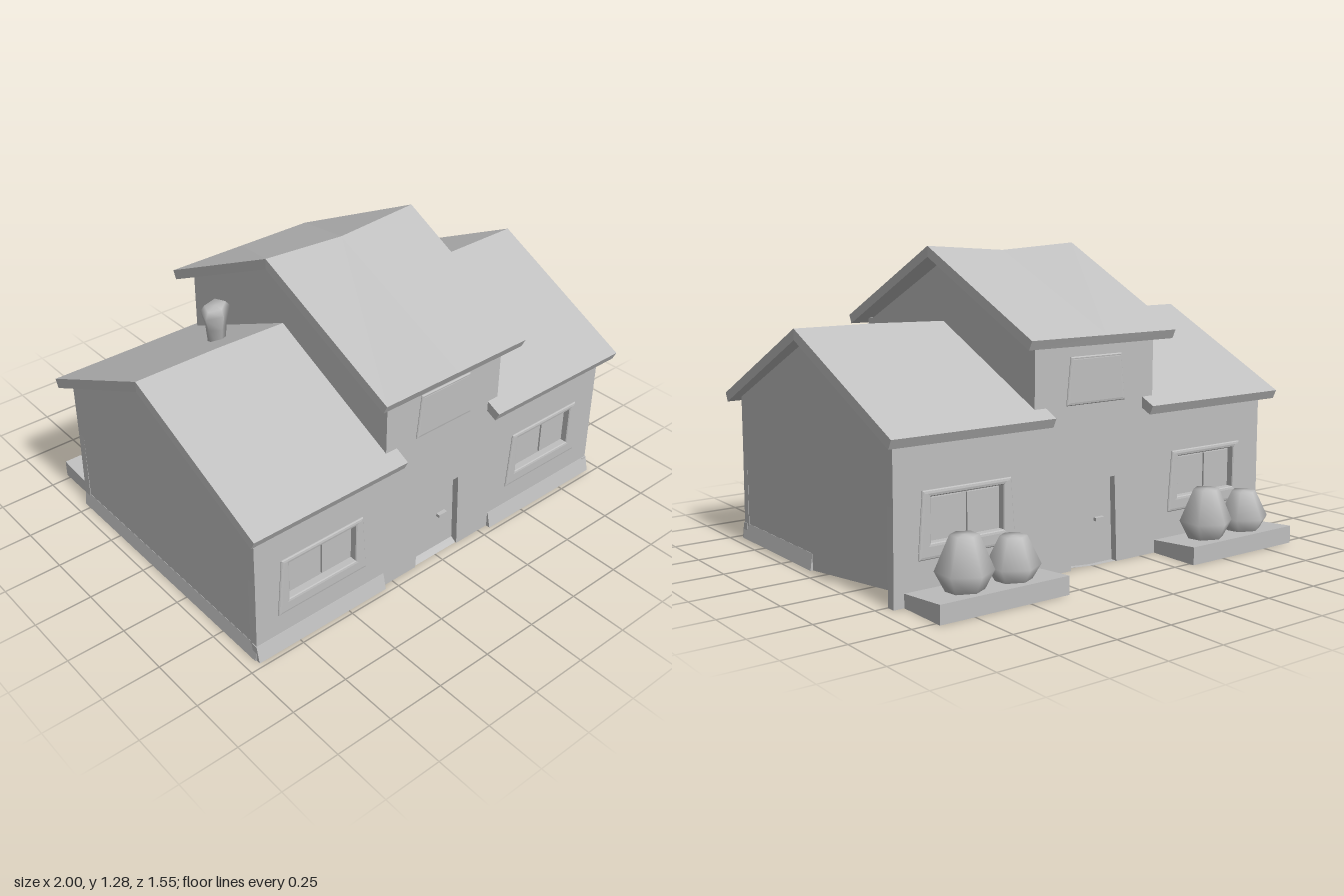
import * as THREE from 'three';

const grey = new THREE.MeshStandardMaterial({ color: 0xbfbfbf, side: THREE.DoubleSide });
grey.name = 'plain grey';

const HALF = 0.625;   // half depth of the house
const SLOPE = 0.485;  // rise of the roofs

function add(parent, name, geometry, x = 0, y = 0, z = 0) {
  const mesh = new THREE.Mesh(geometry, grey);
  mesh.name = name;
  mesh.position.set(x, y, z);
  parent.add(mesh);
  return mesh;
}

const shapeOf = pts => new THREE.Shape(pts.map(p => new THREE.Vector2(...p)));
const rect = (x0, x1, y0, y1) => [[x0, y0], [x1, y0], [x1, y1], [x0, y1]];

// Extrudes a (z, y) profile along x, centred on x = 0
function alongX(pts, length, steps = 1) {
  const g = new THREE.ExtrudeGeometry(shapeOf(pts), { depth: length, bevelEnabled: false, steps });
  g.translate(0, 0, -length / 2);
  g.rotateY(-Math.PI / 2);
  return g;
}

// Roof slab with two pitches, slightly wider at the ridge
function roof(parent, name, x0, x1, ridge, sag, flare) {
  const w = 0.69, drop = w * SLOPE;
  const g = alongX([
    [-w, ridge - drop], [-w + 0.018, ridge - drop - 0.037], [0, ridge - 0.045],
    [w - 0.018, ridge - drop - 0.037], [w, ridge - drop], [0, ridge],
  ], x1 - x0, 2);
  const p = g.attributes.position, mid = (x0 + x1) / 2;
  for (let i = 0; i < p.count; i++) {
    const t = 1 - Math.abs(p.getZ(i)) / w;
    const x = p.getX(i) + mid;
    const outer = Math.abs(x) > 0.35;
    p.setX(i, outer ? x + Math.sign(x) * flare * t : x);
    if (!outer) p.setY(i, p.getY(i) - sag * t);
  }
  g.computeVertexNormals();
  add(parent, name, g);
}

// Raised window surround, recessed backing and panes
function windowSet(parent, name, cx, outer, inner, panes) {
  const group = new THREE.Group();
  group.name = name;
  const [ow, o0, o1] = outer, [iw, i0, i1] = inner;
  const frame = shapeOf([[-ow, o0], [ow, o0], [ow - 0.02, o1], [-ow + 0.02, o1]]);
  frame.holes.push(new THREE.Path(shapeOf(rect(-iw, iw, i0, i1)).getPoints()));
  add(group, 'windowFrame', new THREE.ExtrudeGeometry(frame, {
    depth: 0.003, bevelThickness: 0.005, bevelSize: 0.012, bevelOffset: -0.012, bevelSegments: 2,
  }), 0, 0, HALF);
  add(group, 'windowBack', new THREE.BoxGeometry(2 * iw, i1 - i0, 0.008), 0, (i0 + i1) / 2, HALF - 0.03);
  for (const x of panes) {
    add(group, 'windowPane', new THREE.BoxGeometry(0.145, 0.155, 0.008), x, 0.312, HALF - 0.022);
  }
  group.position.x = cx;
  parent.add(group);
}

// Long wall with doorway, two wide windows and a window above
function facade(name) {
  const group = new THREE.Group();
  group.name = name;
  const wall = shapeOf([
    [-0.945, 0], [-0.12, 0], [-0.105, 0.36], [0.105, 0.36], [0.12, 0], [0.945, 0],
    [0.94, 0.63], [0.305, 0.63], [0.305, 0.935], [-0.305, 0.935], [-0.305, 0.63], [-0.94, 0.63],
  ]);
  const openings = [rect(-0.785, -0.455, 0.225, 0.4), rect(0.455, 0.785, 0.225, 0.4), rect(-0.115, 0.115, 0.7, 0.845)];
  for (const o of openings) wall.holes.push(new THREE.Path(shapeOf(o).getPoints()));
  add(group, 'longWall', new THREE.ExtrudeGeometry(wall, { depth: 0.04, bevelEnabled: false }), 0, 0, HALF - 0.04);
  for (const s of [-1, 1]) {
    windowSet(group, 'wideWindow', s * 0.62, [0.22, 0.165, 0.425], [0.165, 0.225, 0.4], [-0.084, 0.084]);
  }
  windowSet(group, 'upperWindow', 0, [0.15, 0.67, 0.862], [0.115, 0.7, 0.845], []);
  add(group, 'door', new THREE.BoxGeometry(0.25, 0.37, 0.008), 0, 0.185, HALF - 0.034);
  add(group, 'doorHandle', new THREE.BoxGeometry(0.045, 0.014, 0.02), 0.042, 0.187, HALF - 0.022);
  return group;
}

// Pentagon-shaped end wall; the back foot may be lifted
const gable = (half, foot, lift, peak) => alongX([
  [-half, foot + lift], [0, foot], [half, foot], [half, peak - half * SLOPE], [0, peak], [-half, peak - half * SLOPE],
], 0.03);

export function createModel() {
  const model = new THREE.Group();
  model.name = 'house';
  const house = new THREE.Group();
  house.name = 'building';
  house.position.z = 0.085;
  model.add(house);

  // Walls
  const back = facade('backFacade');
  back.rotation.y = Math.PI;
  house.add(facade('frontFacade'), back);
  for (const s of [-1, 1]) {
    add(house, 'endWall', gable(HALF, 0, s > 0 ? 0.07 : 0, 0.935), s * 0.927);
    add(house, 'upperEndWall', gable(HALF - 0.005, 0.6, 0, 1.22), s * 0.29);
  }

  // Sloped base strips along the front and the ends
  for (const s of [-1, 1]) {
    const strip = alongX([[0.6, 0], [0.645, 0], [0.628, 0.07], [0.6, 0.07]], 0.645);
    add(house, 'frontBase', strip, s * 0.625);
    const end = new THREE.ExtrudeGeometry(shapeOf([[0.92, 0], [0.953, 0], [0.943, 0.07], [0.92, 0.07]]),
      { depth: s > 0 ? 0.63 : 1.25, bevelEnabled: false });
    if (s < 0) end.rotateY(Math.PI);
    add(house, 'endBase', end, 0, 0, s > 0 ? 0 : HALF);
  }

  // Underside, lifted at one back corner and hollowed below the entrance
  const floor = new THREE.PlaneGeometry(1.88, 1.24, 24, 12).rotateX(Math.PI / 2);
  const p = floor.attributes.position;
  for (let i = 0; i < p.count; i++) {
    const x = p.getX(i), z = p.getZ(i);
    const corner = 0.08 * Math.max(0, x / 0.94) * Math.max(0, -z / 0.62);
    const hollow = Math.abs(x) < 0.3 && z > 0.3 && z < 0.6 ? 0.07 : 0;
    p.setY(i, 0.001 + corner + hollow);
  }
  floor.computeVertexNormals();
  add(house, 'floor', floor);

  // Roofs
  roof(house, 'leftRoof', 0.25, 0.985, 0.975, 0.01, 0.015);
  roof(house, 'rightRoof', -0.985, -0.25, 0.975, 0.01, 0.015);
  roof(house, 'upperRoof', -0.368, 0.368, 1.28, 0.025, 0.015);

  // Five-sided chimney pot
  const pot = new THREE.LatheGeometry([[0, 0.84], [0.035, 0.84], [0.045, 0.95], [0.062, 1.02], [0.045, 1.045], [0, 1.045]]
    .map(q => new THREE.Vector2(...q)), 5);
  const pp = pot.attributes.position;
  for (let i = 0; i < pp.count; i++) if (pp.getY(i) > 1) pp.setY(i, pp.getY(i) + pp.getX(i) * 0.25);
  pot.computeVertexNormals();
  add(model, 'chimney', pot, -0.51, 0, -0.09);

  // Planters with six-sided shrubs behind the house
  const bush = new THREE.LatheGeometry([[0, 0.05], [0.065, 0.05], [0.112, 0.14], [0.055, 0.275], [0, 0.275]]
    .map(q => new THREE.Vector2(...q)), 6);
  for (const [cx, tall, short] of [[0.61, 0.72, 0.5], [-0.62, -0.505, -0.73]]) {
    const profile = [[-0.775, 0], [-0.54, 0], [-0.54, 0.055], [-0.775, 0.075]];
    add(model, 'planter', alongX(profile, 0.58), cx);
    add(model, 'tallShrub', bush, tall, 0, -0.665);
    add(model, 'shortShrub', bush, short, 0.01, -0.665).scale.set(0.95, 0.82, 0.95);
  }
  return model;
}
